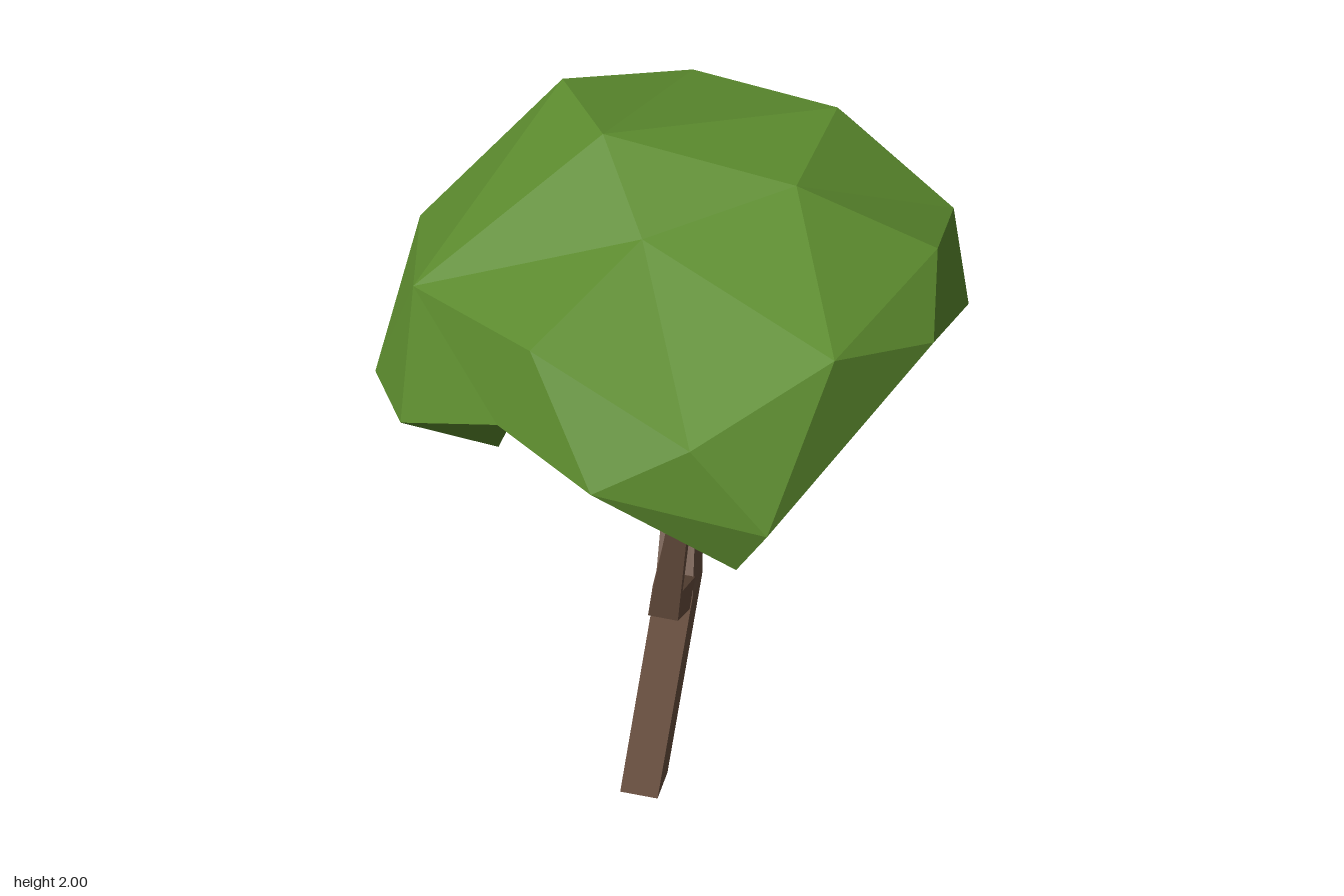
import * as THREE from 'three';

const bark = new THREE.MeshStandardMaterial({ color: 0x6a5040 });
bark.name = 'bark brown';
const leaf = new THREE.MeshStandardMaterial({ color: 0x5c8b2e });
leaf.name = 'leaf green';

// Faceted mesh from a flat list of triangle corners
function facetMesh(name, corners, material) {
  const g = new THREE.BufferGeometry().setFromPoints(corners);
  g.computeVertexNormals();
  const mesh = new THREE.Mesh(g, material);
  mesh.name = name;
  return mesh;
}

// Square-section limb through stations [centre, half width, section normal]
function limb(name, stations) {
  const up = new THREE.Vector3(0, 1, 0);
  const rings = stations.map(([c, h, n]) => {
    const q = new THREE.Quaternion().setFromUnitVectors(up, new THREE.Vector3(...n).normalize());
    return [[1, -1], [1, 1], [-1, 1], [-1, -1]].map(([x, z]) =>
      new THREE.Vector3(x * h, 0, z * h).applyQuaternion(q).add(new THREE.Vector3(...c)));
  });
  const out = [];
  for (let r = 0; r < rings.length - 1; r++) {
    const lo = rings[r], hi = rings[r + 1];
    for (let i = 0; i < 4; i++) {
      const j = (i + 1) % 4;
      out.push(hi[i], hi[j], lo[i], hi[j], lo[j], lo[i]);
    }
  }
  const b = rings[0], t = rings[rings.length - 1];
  out.push(b[0], b[1], b[2], b[0], b[2], b[3], t[0], t[2], t[1], t[0], t[3], t[2]);
  return facetMesh(name, out, bark);
}

// Closed strip between an upper and a lower loop, advancing by angle
function stitch(upper, lower, out) {
  const angle = (loop, k) => {
    const p = loop[k % loop.length];
    const a = Math.atan2(p.z, p.x);
    return (a < 0 ? a + Math.PI * 2 : a) + Math.floor(k / loop.length) * Math.PI * 2;
  };
  const at = (loop, k) => loop[k % loop.length];
  let i = 0, j = 0;
  while (i < upper.length || j < lower.length) {
    const stepUpper = j >= lower.length ||
      (i < upper.length && angle(upper, i + 1) + angle(upper, i) < angle(lower, j + 1) + angle(lower, j));
    if (stepUpper) {
      out.push(at(upper, i), at(upper, i + 1), at(lower, j));
      i++;
    } else {
      out.push(at(lower, j + 1), at(lower, j), at(upper, i));
      j++;
    }
  }
}

function canopy() {
  // Loops run from the crown, over the widest line and rim, into the hollow
  const loops = [
    // crown
    [[0.33, 1.96, 0.065], [0, 1.88, 0.27], [-0.17, 2, 0.01], [0.35, 1.97, -0.32]],
    // shoulder
    [[0.68, 1.83, 0.05], [0.53, 1.8, 0.54], [0.25, 1.66, 0.78], [-0.18, 1.75, 0.61], [-0.55, 1.725, 0.38],
      [-0.38, 1.94, -0.34], [-0.1, 1.865, -0.61], [0.33, 1.78, -0.61], [0.67, 1.76, -0.26]],
    // widest line
    [[0.72, 1.72, 0.29], [0.44, 1.47, 0.805], [0.02, 1.51, 0.805], [-0.27, 1.52, 0.61], [-0.57, 1.38, 0.48],
      [-0.73, 1.34, 0.23], [-0.74, 1.56, -0.19], [-0.33, 1.45, -0.71], [0, 1.52, -0.81],
      [0.38, 1.41, -0.66], [0.64, 1.545, -0.44], [0.735, 1.52, -0.2]],
    // lower rim
    [[0.66, 1.59, 0.21], [0.42, 1.37, 0.45], [0.36, 1.325, 0.765], [0, 1.49, 0.56], [-0.25, 1.5, 0.43],
      [-0.4, 1.165, 0.24], [-0.62, 1.145, 0.04], [-0.5, 1.205, -0.16], [-0.31, 1.32, -0.38],
      [-0.1, 1.268, -0.7], [0.32, 1.29, -0.55], [0.57, 1.39, -0.31]],
    // hollow underside
    [[0.45, 1.59, 0.2], [0.27, 1.46, 0.42], [-0.05, 1.47, 0.4], [-0.33, 1.41, 0.14],
      [-0.25, 1.39, -0.23], [0.09, 1.43, -0.33], [0.4, 1.5, -0.2]],
  ].map(loop => loop.map(p => new THREE.Vector3(...p)));

  const out = [];
  for (let k = 0; k < loops.length - 1; k++) stitch(loops[k], loops[k + 1], out);
  // crown cap, fanned from the highest point
  const top = loops[0], n = top.length, apex = 2;
  for (let k = 1; k < n - 1; k++) out.push(top[apex], top[(apex + k + 1) % n], top[(apex + k) % n]);
  // ceiling of the hollow
  const inner = loops[loops.length - 1], middle = new THREE.Vector3(0.15, 1.57, 0.05);
  inner.forEach((p, k) => out.push(middle, p, inner[(k + 1) % inner.length]));
  return facetMesh('canopy', out, leaf);
}

export function createModel() {
  const tree = new THREE.Group();
  tree.name = 'tree';
  tree.add(
    limb('trunk', [
      [[-0.032, 0, 0.18], 0.055, [0, 1, 0]],
      [[0.02, 0.6, -0.008], 0.054, [0, 1, 0]],
      [[-0.035, 1.33, -0.4], 0.031, [0, 1, 0]],
    ]),
    limb('frontBranch', [
      [[0.02, 0.59, 0.01], 0.046, [0.05, 0.55, 0.8]],
      [[0.112, 0.94, 0.48], 0.039, [0.05, 0.5, 0.85]],
      [[0.182, 1.37, 0.563], 0.022, [0, 1, 0]],
    ]),
    limb('sideBranch', [
      [[0.005, 0.8, -0.11], 0.04, [-0.75, 0.6, 0.3]],
      [[-0.31, 1.03, 0.02], 0.033, [-0.6, 0.75, 0.3]],
      [[-0.36, 1.25, 0.08], 0.019, [0, 1, 0]],
    ]),
    canopy(),
  );
  return tree;
}
